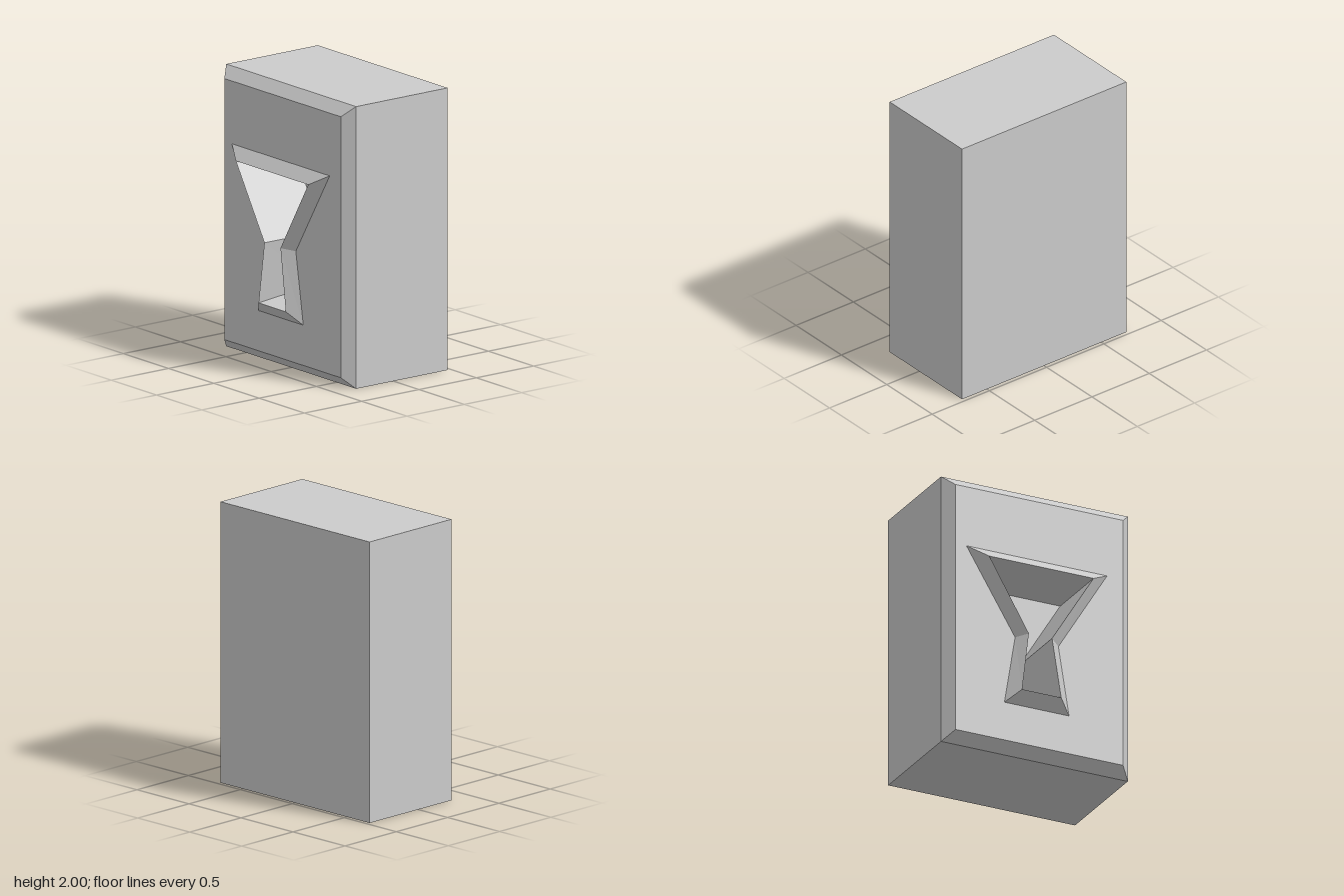
import * as THREE from 'three';

const material = new THREE.MeshStandardMaterial({ color: 0xcccccc, flatShading: true });

function add(group, geometry, name) {
  const mesh = new THREE.Mesh(geometry, material);
  mesh.name = name;
  group.add(mesh);
}

// A ring is a loop of [x, z, y] corners, counter-clockwise when seen from -x.
const ring = (x, loop) => loop.map(([z, y]) => [x, z, y]);
const rect = (x, w, y0, y1) => ring(x, [[-w, y0], [w, y0], [w, y1], [-w, y1]]);

// Flat facets joining consecutive rings
function loft(rings) {
  const pos = [];
  for (let r = 0; r < rings.length - 1; r++) {
    const a = rings[r], b = rings[r + 1], n = a.length;
    for (let i = 0; i < n; i++) {
      const j = (i + 1) % n;
      for (const [x, z, y] of [a[i], a[j], b[j], a[i], b[j], b[i]]) pos.push(x, y, z);
    }
  }
  const g = new THREE.BufferGeometry();
  g.setAttribute('position', new THREE.Float32BufferAttribute(pos, 3));
  g.computeVertexNormals();
  return g;
}

// Flat face filling a ring, looking to -x, with an optional opening
function cap(loop, hole) {
  const points = (l) => l.map(([, z, y]) => new THREE.Vector2(z, y));
  const shape = new THREE.Shape(points(loop));
  if (hole) shape.holes.push(new THREE.Path(points(hole)));
  return new THREE.ShapeGeometry(shape).rotateY(-Math.PI / 2).translate(loop[0][0], 0, 0);
}

export function createModel() {
  const group = new THREE.Group();

  // Block with one chamfered face on the -x side
  const back = rect(0.473, 0.717, 0, 2);
  const edge = rect(-0.325, 0.717, 0, 2);
  const face = rect(-0.4, 0.643, 0.075, 1.925);

  // Hourglass outlines: foot of the collar, its sharp rim, and the end of the recess
  const foot = ring(-0.4, [[-0.268, 0.36], [0.228, 0.36], [0.146, 0.867],
    [0.52, 1.48], [-0.56, 1.48], [-0.186, 0.867]]);
  const rim = [[-0.475, -0.17, 0.447], [-0.475, 0.13, 0.447], [-0.468, 0.063, 0.883],
    [-0.475, 0.378, 1.4], [-0.475, -0.422, 1.4], [-0.468, -0.115, 0.883]];
  const deep = ring(0.03, [[-0.165, 0.5], [0.125, 0.5], [0.063, 0.883],
    [0.378, 1.4], [-0.422, 1.4], [-0.115, 0.883]]);

  add(group, loft([back, edge, face]), 'bodySides');
  add(group, cap(back).rotateY(Math.PI).translate(0.946, 0, 0), 'bodyBackPanel');
  add(group, cap(face, foot), 'bodyFacePanel');
  add(group, loft([foot, rim]), 'hourglassCollar');
  add(group, loft([rim, deep]), 'recessWalls');
  add(group, cap(deep), 'recessEnd');
  return group;
}
